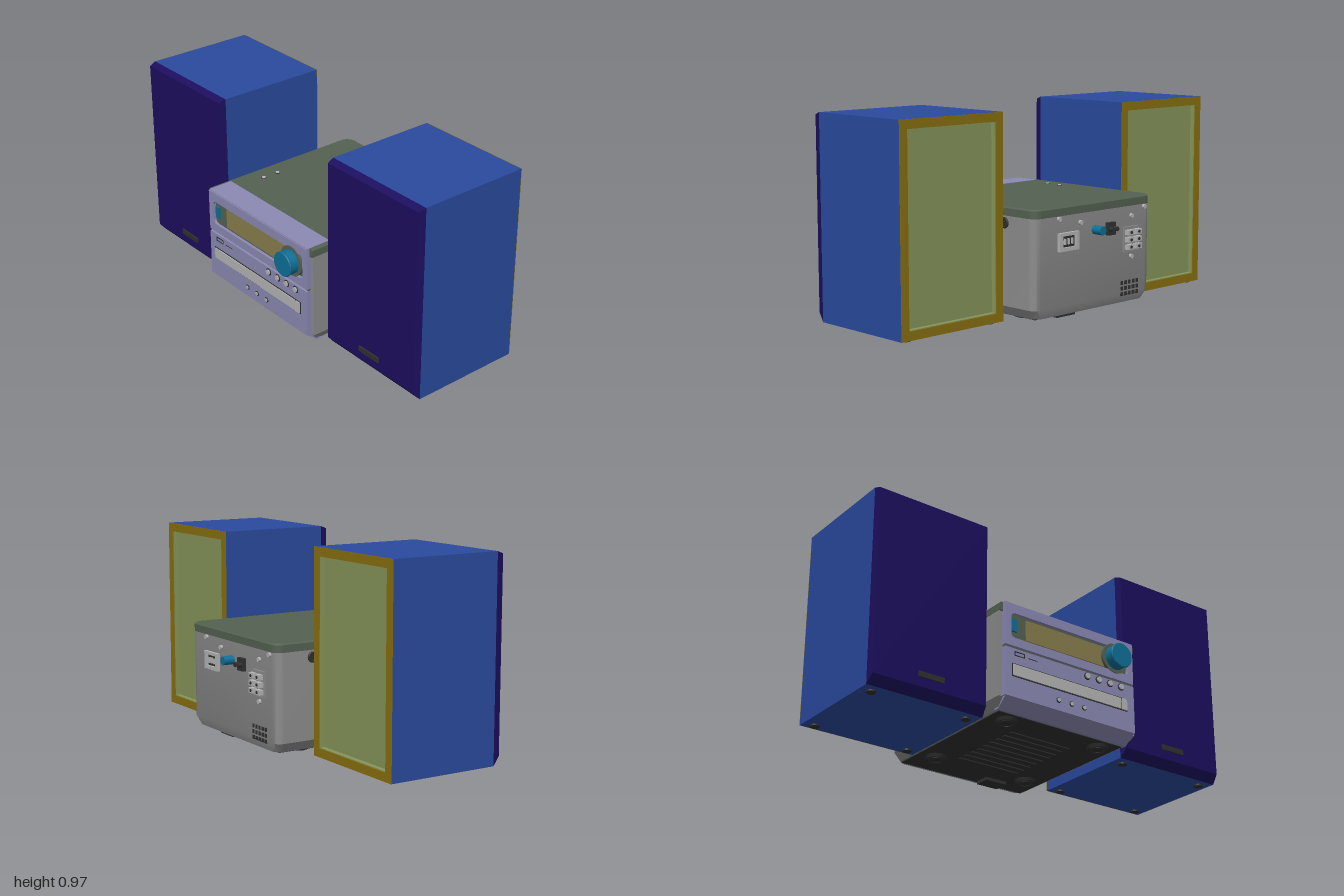
import * as THREE from 'three';
import { toCreasedNormals } from 'three/addons/utils/BufferGeometryUtils.js';

const mats = {};
const mat = (c) => (mats[c] ??= new THREE.MeshStandardMaterial({ color: c }));
const C = {
  blue: 0x2a4a9e, purple: 0x1c0e5e, mustard: 0x8a7010, olive: 0x86965a, green: 0x546152,
  grey: 0x8c8c8c, lavender: 0x8b89b2, dark: 0x303030, cyan: 0x0e6f96, silver: 0xb4b4b4, gold: 0x877d4c,
};

function add(parent, name, geo, color, x = 0, y = 0, z = 0) {
  const m = new THREE.Mesh(geo, mat(color));
  m.name = name;
  m.position.set(x, y, z);
  parent.add(m);
  return m;
}

// box given by its limits
function box(parent, name, color, x0, x1, y0, y1, z0, z1) {
  return add(parent, name, new THREE.BoxGeometry(x1 - x0, y1 - y0, z1 - z0), color,
    (x0 + x1) / 2, (y0 + y1) / 2, (z0 + z1) / 2);
}

// cylinder centred at a point, along the named axis
function cyl(parent, name, color, axis, r, len, x, y, z, r2 = r) {
  const g = new THREE.CylinderGeometry(r, r2, len, 32);
  if (axis === 'z') g.rotateX(Math.PI / 2);
  if (axis === 'x') g.rotateZ(Math.PI / 2);
  return add(parent, name, g, color, x, y, z);
}

function ring(parent, name, color, axis, r, tube, x, y, z) {
  const g = new THREE.TorusGeometry(r, tube, 10, 32);
  if (axis === 'x') g.rotateY(Math.PI / 2);
  if (axis === 'y') g.rotateX(Math.PI / 2);
  return add(parent, name, g, color, x, y, z);
}

function rect(x0, x1, y0, y1, r = 0, P = THREE.Shape) {
  const s = new P();
  s.moveTo(x0 + r, y0).lineTo(x1 - r, y0);
  if (r) s.quadraticCurveTo(x1, y0, x1, y0 + r);
  s.lineTo(x1, y1 - r);
  if (r) s.quadraticCurveTo(x1, y1, x1 - r, y1);
  s.lineTo(x0 + r, y1);
  if (r) s.quadraticCurveTo(x0, y1, x0, y1 - r);
  s.lineTo(x0, y0 + r);
  if (r) s.quadraticCurveTo(x0, y0, x0 + r, y0);
  return s;
}

// rectangular plate with a rectangular opening, facing z
function frame(parent, name, color, outer, inner, z0, z1, r = 0) {
  const s = rect(...outer);
  s.holes.push(rect(...inner, r, THREE.Path));
  return add(parent, name, new THREE.ExtrudeGeometry(s, { depth: z1 - z0, bevelEnabled: false }), color, 0, 0, z0);
}

// side profile of [z, y] points swept along x
function sweepX(pts, x0, x1) {
  const s = new THREE.Shape(pts.map(([z, y]) => new THREE.Vector2(-z, y)));
  return new THREE.ExtrudeGeometry(s, { depth: x1 - x0, bevelEnabled: false }).rotateY(Math.PI / 2).translate(x0, 0, 0);
}

// stacked plan outlines with rounded rear corners: rows of [y, halfWidth, zBack, zFront]
function loft(rows, r) {
  const pos = [], idx = [];
  const outline = ([y, w, zb, zf]) => {
    const o = [[w, zf]];
    for (let i = 0; i <= 8; i++) {
      const a = (i / 8) * Math.PI / 2;
      o.push([w - r + r * Math.cos(a), zb + r - r * Math.sin(a)]);
    }
    return [...o, ...o.map(([x, z]) => [-x, z]).reverse()].map(([x, z]) => [x, y, z]);
  };
  const rings = rows.map(outline), n = rings[0].length;
  rings.forEach((o) => o.forEach((p) => pos.push(...p)));
  for (let k = 0; k < rings.length - 1; k++) {
    for (let i = 0; i < n; i++) {
      const a = k * n + i, b = k * n + (i + 1) % n;
      idx.push(a, b, b + n, a, b + n, a + n);
    }
  }
  const top = (rings.length - 1) * n;
  for (let i = 1; i < n - 1; i++) idx.push(top, top + i, top + i + 1, 0, i + 1, i);
  const g = new THREE.BufferGeometry();
  g.setAttribute('position', new THREE.Float32BufferAttribute(pos, 3));
  g.setIndex(idx);
  return toCreasedNormals(g, 0.5);
}

function speaker(side) {
  const g = new THREE.Group();
  g.name = side > 0 ? 'leftSpeaker' : 'rightSpeaker';
  const out = [-0.3, 0.3, 0.008, 0.968], inn = [-0.257, 0.257, 0.05, 0.926];
  frame(g, 'cabinet', C.blue, out, inn, -0.248, 0.31);
  frame(g, 'backFrame', C.mustard, out, inn, -0.251, -0.248);
  frame(g, 'recessWall', C.olive, inn, [-0.253, 0.253, 0.054, 0.922], -0.248, -0.22);
  box(g, 'backPanel', C.olive, -0.257, 0.257, 0.05, 0.926, -0.225, -0.215);
  // grille with sloped top, bottom and side edges
  const grille = sweepX([[0.31, 0.008], [0.31, 0.968], [0.346, 0.955], [0.346, 0.05]], -0.3, 0.3);
  const p = grille.attributes.position;
  for (let i = 0; i < p.count; i++) if (p.getZ(i) > 0.33) p.setX(i, p.getX(i) * 0.975);
  grille.computeVertexNormals();
  add(g, 'grille', grille, C.purple);
  box(g, 'badgePlate', C.dark, -0.066, 0.066, 0.094, 0.12, 0.34, 0.354);
  for (const x of [-0.245, 0.245]) for (const z of [-0.21, 0.26]) cyl(g, 'speakerFoot', C.dark, 'y', 0.022, 0.01, x, 0.005, z);
  g.position.x = 0.7 * side;
  return g;
}

function frontPanel() {
  const g = new THREE.Group();
  g.name = 'frontPanel';
  frame(g, 'upperFascia', C.lavender, [-0.376, 0.376, 0.328, 0.538], [-0.342, 0.345, 0.37, 0.492], 0.42, 0.445, 0.025);
  box(g, 'lowerFascia', C.lavender, -0.376, 0.376, 0.08, 0.316, 0.42, 0.445);
  box(g, 'fasciaGroove', C.green, -0.374, 0.374, 0.31, 0.335, 0.42, 0.433);
  box(g, 'topStrip', C.lavender, -0.376, 0.376, 0.5, 0.5415, 0.312, 0.44);
  add(g, 'lowerSlope', sweepX([[0.36, 0.034], [0.383, 0.034], [0.44, 0.08], [0.36, 0.08]], -0.37, 0.37), C.lavender);
  // display and volume knob
  box(g, 'displayBezel', C.green, -0.345, 0.35, 0.365, 0.495, 0.42, 0.43);
  box(g, 'displayWindow', C.gold, -0.25, 0.23, 0.38, 0.482, 0.43, 0.434);
  box(g, 'powerButton', C.cyan, -0.332, -0.305, 0.405, 0.465, 0.43, 0.44);
  cyl(g, 'knobCollar', C.green, 'z', 0.075, 0.02, 0.265, 0.433, 0.438);
  cyl(g, 'knob', C.cyan, 'z', 0.058, 0.07, 0.265, 0.433, 0.465);
  ring(g, 'knobRim', C.cyan, 'z', 0.056, 0.006, 0.265, 0.433, 0.493);
  // buttons, disc tray and sockets
  for (const x of [0.093, 0.162, 0.229, 0.296]) {
    ring(g, 'buttonRing', C.dark, 'z', 0.015, 0.003, x, 0.295, 0.446);
    cyl(g, 'button', C.silver, 'z', 0.013, 0.012, x, 0.295, 0.448);
  }
  box(g, 'traySurround', C.dark, -0.34, 0.332, 0.178, 0.242, 0.44, 0.4465);
  box(g, 'discTray', C.silver, -0.335, 0.292, 0.183, 0.237, 0.44, 0.451);
  box(g, 'trayButton', C.silver, 0.299, 0.327, 0.182, 0.238, 0.44, 0.453);
  for (const x of [-0.077, -0.003, 0.071]) {
    ring(g, 'socketRing', C.dark, 'z', 0.01, 0.003, x, 0.13, 0.446);
    cyl(g, 'socket', C.silver, 'z', 0.009, 0.01, x, 0.13, 0.446);
  }
  frame(g, 'portRim', C.dark, [-0.324, -0.268, 0.281, 0.303], [-0.32, -0.272, 0.285, 0.299], 0.444, 0.447);
  box(g, 'portMark', C.dark, -0.25, -0.195, 0.286, 0.289, 0.444, 0.446);
  return g;
}

function rearPanel() {
  const g = new THREE.Group();
  g.name = 'rearPanel';
  // power inlet
  frame(g, 'powerInlet', C.silver, [0.12, 0.245, 0.335, 0.42], [0.14, 0.225, 0.352, 0.405], -0.462, -0.44);
  box(g, 'inletCore', C.dark, 0.14, 0.225, 0.352, 0.405, -0.45, -0.44);
  for (const x of [0.16, 0.183, 0.206]) box(g, 'inletPin', C.silver, x - 0.004, x + 0.004, 0.365, 0.392, -0.46, -0.44);
  // aerial and audio sockets
  cyl(g, 'aerialSocket', C.cyan, 'z', 0.021, 0.06, 0, 0.41, -0.47);
  box(g, 'audioBlock', C.dark, -0.125, -0.075, 0.375, 0.435, -0.465, -0.44);
  for (const x of [-0.114, -0.087]) cyl(g, 'audioSocket', C.dark, 'z', 0.011, 0.045, x, 0.405, -0.464);
  // speaker terminals
  box(g, 'terminalPlate', C.grey, -0.3, -0.195, 0.28, 0.4, -0.456, -0.44);
  for (const x of [-0.275, -0.22]) for (const y of [0.305, 0.34, 0.375]) {
    box(g, 'terminalClip', C.silver, x - 0.02, x + 0.02, y - 0.012, y + 0.012, -0.478, -0.45);
    cyl(g, 'terminalHole', C.dark, 'z', 0.007, 0.006, x, y, -0.478);
  }
  // screws and vent slots
  for (const [x, y] of [[0.24, 0.485], [0.1, 0.455], [-0.25, 0.45], [-0.34, 0.485], [-0.25, 0.255]]) cyl(g, 'screw', C.silver, 'z', 0.011, 0.012, x, y, -0.452);
  for (let i = 0; i < 5; i++) for (const y of [0.078, 0.105, 0.132]) {
    const x = -0.19 - i * 0.027;
    box(g, 'ventSlot', C.dark, x - 0.008, x + 0.008, y - 0.009, y + 0.009, -0.448, -0.43);
  }
  return g;
}

function underside() {
  const g = new THREE.Group();
  g.name = 'underside';
  box(g, 'basePlate', C.dark, -0.355, 0.355, 0.031, 0.045, -0.41, 0.37);
  for (const x of [-0.265, 0.265]) for (const z of [-0.25, 0.305]) {
    cyl(g, 'foot', C.dark, 'y', 0.055, 0.018, x, 0.024, z, 0.048);
    ring(g, 'footRing', C.dark, 'y', 0.034, 0.005, x, 0.015, z);
  }
  for (let i = 0; i < 9; i++) box(g, 'baseRib', C.dark, -0.17, 0.17, 0.026, 0.034, -0.2 + i * 0.05, -0.185 + i * 0.05);
  box(g, 'baseBlock', C.dark, 0.08, 0.2, 0.016, 0.04, -0.4, -0.32);
  return g;
}

export function createModel() {
  const model = new THREE.Group();
  model.name = 'stereoSystem';
  model.add(speaker(1), speaker(-1));
  const unit = new THREE.Group();
  unit.name = 'mainUnit';
  add(unit, 'body', loft([[0.035, 0.365, -0.43, 0.38], [0.08, 0.393, -0.445, 0.42], [0.5, 0.393, -0.446, 0.42]], 0.04), C.grey);
  add(unit, 'lid', loft([[0.498, 0.394, -0.45, 0.428], [0.533, 0.394, -0.45, 0.428], [0.54, 0.386, -0.444, 0.428]], 0.045), C.green);
  for (const z of [0.08, 0.165]) {
    ring(unit, 'lidButtonRing', C.dark, 'y', 0.011, 0.002, -0.305, 0.54, z);
    cyl(unit, 'lidButton', C.silver, 'y', 0.01, 0.006, -0.305, 0.541, z);
  }
  // round spacers on the side walls
  for (const s of [-1, 1]) for (const z of [-0.255, 0.235]) {
    ring(unit, 'sideSpacerRim', C.dark, 'x', 0.02, 0.006, s * 0.396, 0.465, z);
    cyl(unit, 'sideSpacer', C.dark, 'x', 0.018, 0.01, s * 0.393, 0.465, z);
  }
  unit.add(frontPanel(), rearPanel(), underside());
  model.add(unit);
  return model;
}
